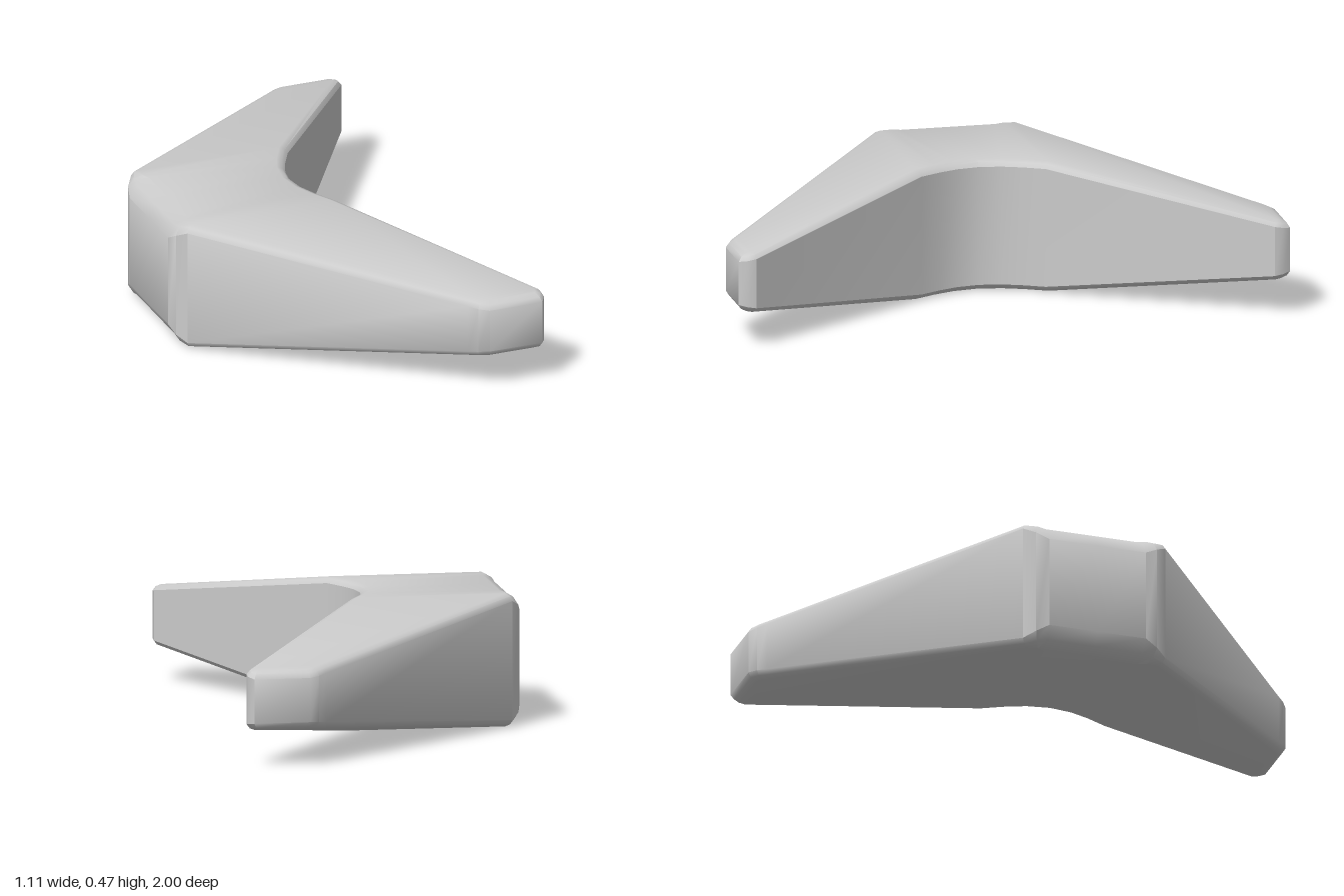
import * as THREE from 'three';
import { toCreasedNormals } from 'three/addons/utils/BufferGeometryUtils.js';

// Half outline seen from above, as [x, z] pairs from the middle to the tip
const OUTER = [[-0.56, 0], [-0.56, 0.18], [-0.548, 0.225], [-0.52, 0.265], [0.27, 0.953], [0.3, 0.98], [0.335, 1]];
const INNER = [[-0.02, 0], [-0.008, 0.08], [0.02, 0.15], [0.06, 0.225], [0.553, 0.94], [0.553, 0.97], [0.535, 1]];
const MID_Y = 0.2375;

function createBladeGeometry() {
  const mirror = ([x, z]) => [x, -z];
  const outline = [
    ...OUTER, ...[...INNER].reverse(),
    ...INNER.slice(1).map(mirror), ...OUTER.slice(1).reverse().map(mirror),
  ].map(([x, z]) => new THREE.Vector2(x, z));
  const n = outline.length;
  const half = OUTER.length;

  // Inward mitre at each outline point
  const edgeNormal = (a, b) => new THREE.Vector2(b.y - a.y, a.x - b.x).normalize();
  const mitres = outline.map((p, i) => {
    const n1 = edgeNormal(outline[(i + n - 1) % n], p);
    const n2 = edgeNormal(p, outline[(i + 1) % n]);
    return n1.clone().add(n2).divideScalar(1 + n1.dot(n2));
  });

  // Bevel steps [inset, drop]; the blunt nose is rounded more than the arms
  const armBevel = [[0.03, 0], [0.011, 0.007], [0, 0.022]];
  const noseBevel = [[0.07, 0], [0.028, 0.025], [0, 0.07]];
  const bevelAt = (i, step) => {
    const k = Math.min(i, n - i);
    const t = k <= 1 ? 1 : k === 2 ? 0.5 : 0;
    return armBevel[step].map((v, c) => THREE.MathUtils.lerp(v, noseBevel[step][c], t));
  };

  // Rings from the top face, down the wall, to the bottom face
  const positions = [];
  for (const [step, side] of [[0, 1], [1, 1], [2, 1], [2, -1], [1, -1], [0, -1]]) {
    outline.forEach((p, i) => {
      const [inset, drop] = bevelAt(i, step);
      const x = p.x + mitres[i].x * inset;
      const z = p.y + mitres[i].y * inset;
      const height = MID_Y - 0.182 * Math.max(0, Math.abs(z) - 0.25) - drop;
      positions.push(x, MID_Y + side * height, z);
    });
  }

  const index = [];
  for (let r = 0; r < 5; r++) {
    for (let i = 0; i < n; i++) {
      const a = r * n + i, b = r * n + (i + 1) % n;
      index.push(a, a + n, b, b, a + n, b + n);
    }
  }
  // Top and bottom faces: strips across the blade from tip to tip
  const last = 5 * n;
  for (let j = 1 - half; j < half - 1; j++) {
    const o = (j + n) % n, o2 = (j + 1 + n) % n;
    const i = 2 * half - 1 - j, i2 = i - 1;
    index.push(o, o2, i, i, o2, i2);
    index.push(last + o, last + i, last + o2, last + i, last + i2, last + o2);
  }

  const geometry = new THREE.BufferGeometry();
  geometry.setAttribute('position', new THREE.Float32BufferAttribute(positions, 3));
  geometry.setIndex(index);
  return toCreasedNormals(geometry, 0.6);
}

export function createModel() {
  const group = new THREE.Group();
  group.name = 'boomerang';
  const blade = new THREE.Mesh(createBladeGeometry(), new THREE.MeshStandardMaterial({ color: 0xcccccc }));
  blade.name = 'blade';
  group.add(blade);
  return group;
}
